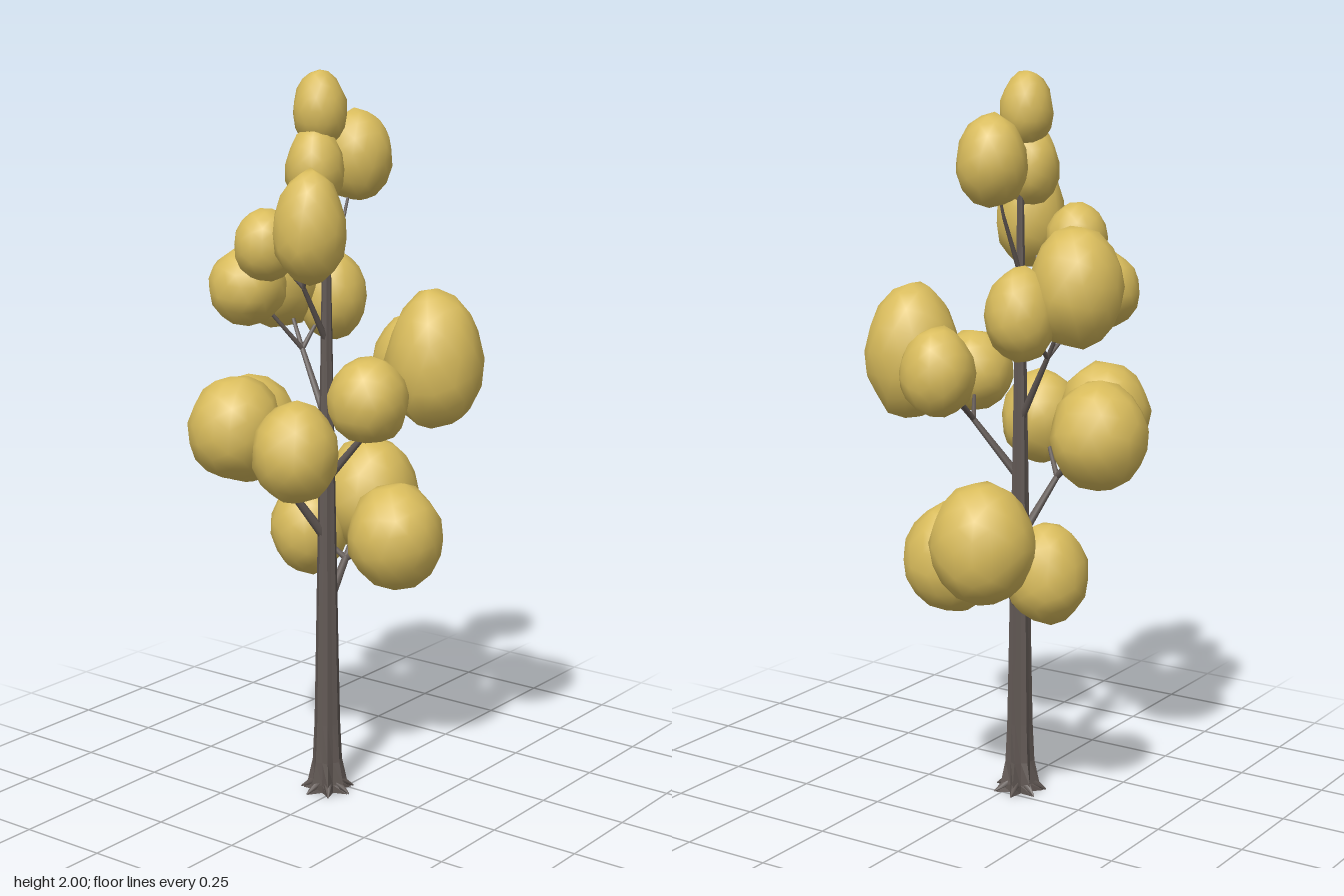
import * as THREE from 'three';
import { mergeVertices } from 'three/addons/utils/BufferGeometryUtils.js';

const AXIS = new THREE.Vector3(-0.045, 0, -0.03); // foot of the trunk

function seeded(seed) {
  let s = seed * 7919 + 17;
  return () => ((s = (s * 16807) % 2147483647) / 2147483647);
}

// Leaf clump: slightly irregular faceted ball; tall clumps narrow towards the top
function clumpGeometry(radius, halfHeight, seed) {
  const rnd = seeded(seed);
  const taper = 0.03 + 0.2 * Math.max(0, halfHeight / radius - 1.1);
  let g = new THREE.IcosahedronGeometry(1, 2);
  g.deleteAttribute('uv');
  g.deleteAttribute('normal');
  g = mergeVertices(g, 1e-3);
  g.rotateX(rnd() * 3);
  g.rotateZ(rnd() * 3);
  const p = g.attributes.position;
  for (let i = 0; i < p.count; i++) {
    const y = p.getY(i), k = 0.97 + rnd() * 0.07, w = k * radius * (1 - taper * y);
    p.setXYZ(i, p.getX(i) * w, y * k * halfHeight, p.getZ(i) * w);
  }
  g.computeVertexNormals();
  return g;
}

// Tapered limb between two points
function limb(a, b, r0, r1, material, name) {
  const d = b.clone().sub(a);
  const mesh = new THREE.Mesh(new THREE.CylinderGeometry(r1, r0, d.length(), 6), material);
  mesh.position.copy(a).add(b).multiplyScalar(0.5);
  mesh.quaternion.setFromUnitVectors(new THREE.Vector3(0, 1, 0), d.normalize());
  mesh.name = name;
  return mesh;
}

// Tapering trunk whose ridges flare out near the ground
function trunkGeometry() {
  const profile = [];
  for (let i = 0; i < 10; i++) {
    const y = 1.8 * (i / 9) ** 2;
    profile.push(new THREE.Vector2(0.04 - 0.0185 * y + 0.006 * Math.exp(-15 * y), y));
  }
  let g = new THREE.LatheGeometry(profile, 14);
  const p = g.attributes.position;
  for (let i = 0; i < p.count; i++) {
    const flare = Math.exp(-25 * p.getY(i));
    const ridge = Math.floor(i / profile.length) % 2 === 0;
    const k = ridge ? 1 + 0.5 * flare : 0.88 - 0.13 * flare;
    p.setX(i, p.getX(i) * k);
    p.setZ(i, p.getZ(i) * k);
  }
  g = g.toNonIndexed();
  g.computeVertexNormals();
  return g;
}

// Boughs: height on the trunk, then clumps as x, y, z, radius, half height
const BOUGHS = [
  { y: 0.54, clumps: [[0.15, 0.71, 0.06, 0.135, 0.15], [0.245, 0.79, -0.1, 0.14, 0.163], [0.12, 0.7, -0.22, 0.11, 0.137]] },
  { y: 0.73, clumps: [[-0.27, 1.03, 0.04, 0.115, 0.133], [-0.26, 1.065, -0.17, 0.127, 0.142], [-0.12, 1.03, -0.235, 0.133, 0.15]] },
  { y: 0.9, clumps: [[-0.145, 1.165, 0.183, 0.106, 0.115], [0.075, 1.245, 0.238, 0.13, 0.187], [0.17, 1.215, 0.093, 0.1, 0.122]] },
  { y: 1.06, clumps: [[0.01, 1.45, -0.238, 0.125, 0.16], [0.11, 1.38, -0.13, 0.095, 0.125], [-0.14, 1.425, -0.225, 0.105, 0.105]] },
  { y: 1.28, clumps: [[-0.195, 1.61, 0.033, 0.095, 0.147], [-0.195, 1.55, -0.115, 0.084, 0.095]] },
  { y: 1.46, clumps: [[0.07, 1.77, -0.015, 0.095, 0.123]] },
  { y: 1.6, clumps: [[-0.092, 1.75, -0.032, 0.077, 0.108], [-0.063, 1.9, -0.036, 0.071, 0.1]] },
];

export function createModel() {
  const tree = new THREE.Group();
  tree.name = 'tree';
  const bark = new THREE.MeshStandardMaterial({ color: 0x625955 });
  bark.name = 'bark';
  const leaves = new THREE.MeshStandardMaterial({ color: 0xd9bc5c });
  leaves.name = 'golden leaves';

  const trunk = new THREE.Mesh(trunkGeometry(), bark);
  trunk.name = 'trunk';
  trunk.position.copy(AXIS);
  tree.add(trunk);

  // Root tips continue the trunk ridges
  for (let i = 0; i < 7; i++) {
    const a = (i / 7) * Math.PI * 2;
    const along = (r, y) => new THREE.Vector3(Math.sin(a) * r, y, Math.cos(a) * r).add(AXIS);
    tree.add(limb(along(0.035, 0.026), along(0.075, 0.003), 0.013, 0.002, bark, 'root'));
  }

  let seed = 1;
  for (const { y, clumps } of BOUGHS) {
    const bough = new THREE.Group();
    bough.name = 'bough';
    const start = AXIS.clone().setY(y);
    const r = 0.021 - 0.009 * y;

    // The branch forks part of the way to the middle of its clumps
    const middle = new THREE.Vector3();
    for (const [cx, cy, cz] of clumps) middle.add(new THREE.Vector3(cx, cy, cz).divideScalar(clumps.length));
    const fork = start.clone().lerp(middle, 0.6);
    fork.y -= 0.08 * (middle.y - y);
    bough.add(limb(start, fork, r, r * 0.65, bark, 'branch'));

    for (const [cx, cy, cz, radius, halfHeight] of clumps) {
      const centre = new THREE.Vector3(cx, cy, cz);
      bough.add(limb(fork, centre, r * 0.6, r * 0.3, bark, 'twig'));
      const clump = new THREE.Mesh(clumpGeometry(radius, halfHeight, seed++), leaves);
      clump.position.copy(centre);
      clump.name = 'leafClump';
      bough.add(clump);
    }
    tree.add(bough);
  }
  return tree;
}
